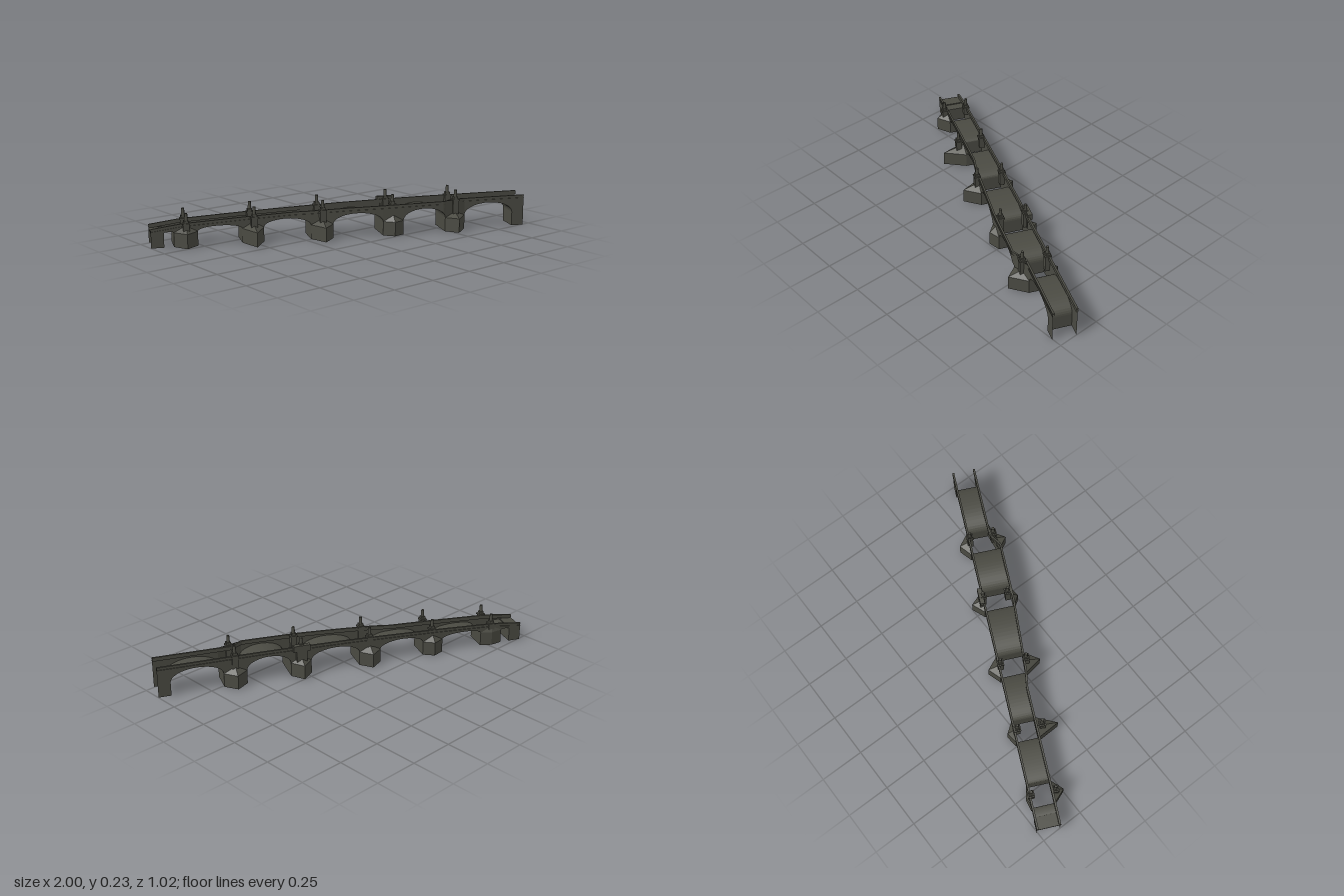
import * as THREE from 'three';

// The bridge is laid out along s (length), y (height), t (across, front is +)
const END = 1.07, HALF = 0.064, SPRING = 0.08;
const stone = new THREE.MeshStandardMaterial({ color: 0x4a4a42, side: THREE.DoubleSide });
stone.name = 'dark stone';

const piers = [
  { s0: -0.947, s1: -0.817, front: 0.128, back: 0.08, postF: 0.08, postB: 0.055, rise: 0.058 },
  { s0: -0.575, s1: -0.455, front: 0.187, back: 0.098, postF: 0.095, postB: 0.045, rise: 0.058 },
  { s0: -0.195, s1: -0.07, front: 0.176, back: 0.12, postF: 0.094, postB: 0.052, rise: 0.057 },
  { s0: 0.212, s1: 0.33, front: 0.143, back: 0.125, postF: 0.082, postB: 0.06, rise: 0.055 },
  { s0: 0.579, s1: 0.709, front: 0.157, back: 0.117, postF: 0.082, postB: 0.055, rise: 0.057 },
];

// Piecewise linear lookup
const lookup = (table) => (s) => {
  if (s <= table[0][0]) return table[0][1];
  for (let i = 1; i < table.length; i++) {
    const [a, va] = table[i - 1], [b, vb] = table[i];
    if (s <= b) return va + (vb - va) * (s - a) / (b - a);
  }
  return table[table.length - 1][1];
};
const top = lookup([[-1.07, 0.105], [-0.9, 0.127], [-0.55, 0.145], [-0.25, 0.157],
  [0, 0.166], [0.25, 0.171], [0.5, 0.175], [1.07, 0.178]]);
// The front wall swells outwards past the middle
const frontLine = lookup([[-0.3, HALF], [-0.2, 0.08], [0.23, 0.108], [0.57, 0.11], [0.63, HALF]]);
const wallLine = (side, s) => (side > 0 ? frontLine(s) : -HALF);

function mesh(geometry, name) {
  const m = new THREE.Mesh(geometry, stone);
  m.name = name;
  return m;
}

function faceted(positions) {
  const g = new THREE.BufferGeometry();
  g.setAttribute('position', new THREE.Float32BufferAttribute(positions, 3));
  g.computeVertexNormals();
  return g;
}

// Strip of quads between two equally long rows of [x, y, z] points
function ribbon(a, b) {
  const p = [];
  for (let i = 0; i + 1 < a.length; i++) {
    p.push(...a[i], ...a[i + 1], ...b[i + 1], ...a[i], ...b[i + 1], ...b[i]);
  }
  return faceted(p);
}

// Arch underside from pier to pier as [s, y], reaching the ground at both ends
function archPath(s0, s1) {
  const crown = top((s0 + s1) / 2) - 0.033, path = [[s0, 0]], n = 20;
  for (let i = 0; i <= n; i++) {
    const a = Math.PI * (1 - i / n);
    path.push([(s0 + s1) / 2 + Math.cos(a) * (s1 - s0) / 2,
      SPRING + (crown - SPRING) * Math.sin(a)]);
  }
  path.push([s1, 0]);
  return path;
}

// Pointed pier nose with a sloping cap
function cutwater(pier, side) {
  const { s0, s1 } = pier, mid = (s0 + s1) / 2;
  const tip = side * (side > 0 ? pier.front : pier.back);
  const w0 = wallLine(side, s0), w1 = wallLine(side, s1);
  const plan = [[s0, w0], [mid, tip], [s1, w1]];
  const at = (y) => plan.map(([s, t]) => [s, y, t]);
  const peak = [mid, 0.113, wallLine(side, mid)];
  const g = new THREE.Group();
  g.add(mesh(ribbon(at(0), at(SPRING)), 'pierNose'));
  g.add(mesh(ribbon(at(SPRING), [peak, peak, peak]), 'pierCap'));
  g.name = 'cutwater';
  return g;
}

function box(w, y0, y1, d, s, t, name) {
  const m = mesh(new THREE.BoxGeometry(w, y1 - y0, d), name);
  m.position.set(s, (y0 + y1) / 2, t);
  return m;
}

// Buttress, pedestal and slim post above a pier
function monument(pier, side) {
  const g = new THREE.Group();
  g.name = 'monument';
  const s = (pier.s0 + pier.s1) / 2, h = top(s);
  const t = side * (side > 0 ? pier.postF : pier.postB);
  g.add(box(0.034, SPRING, h, 0.032, s, t, 'buttress'));
  g.add(box(0.04, h - 0.004, h + 0.004, 0.038, s, t, 'pedestalBase'));
  g.add(box(0.026, h + 0.004, h + 0.018, 0.026, s, t, 'pedestal'));
  const post = mesh(new THREE.CylinderGeometry(0.008, 0.01, pier.rise - 0.018, 8).toNonIndexed(), 'post');
  post.position.set(s, h + 0.018 + (pier.rise - 0.018) / 2, t);
  g.add(post);
  return g;
}

export function createModel() {
  const bridge = new THREE.Group();
  bridge.name = 'bridge';

  // Spans between the piers, with a small one at the low end
  const starts = [-1.0, ...piers.map((p) => p.s1)];
  const ends = [...piers.map((p) => p.s0), 1.0];
  const arches = starts.map((s, i) => archPath(s, ends[i]));

  // Vaults
  for (const path of arches) {
    bridge.add(mesh(ribbon(
      path.map(([s, y]) => [s, y, frontLine(s)]),
      path.map(([s, y]) => [s, y, -HALF])), 'archVault'));
  }
  bridge.add(box(END - 1.0, 0.078, 0.086, 2 * HALF, -(END + 1) / 2, 0, 'landing'));

  // Side walls, parapets and string courses
  const outline = [[-END, 0], ...arches.flat(), [END, 0]];
  const steps = Array.from({ length: 81 }, (_, i) => -END + 2 * END * i / 80);
  for (const side of [1, -1]) {
    bridge.add(mesh(ribbon(
      outline.map(([s, y]) => [s, y, wallLine(side, s)]),
      outline.map(([s]) => [s, top(s), wallLine(side, s)])), 'sideWall'));

    const row = (drop, out) => steps.map((s) => [s, top(s) - drop, wallLine(side, s) + side * out]);
    const strips = [
      ['coping', [[0, -0.008], [0, 0.003], [0.005, 0.003], [0.005, 0]]],
      ['parapetInside', [[0, -0.008], [0.022, -0.008]]],
      ['stringCourse', [[0.016, 0], [0.016, 0.004], [0.021, 0.004], [0.021, 0]]],
    ];
    for (const [name, profile] of strips) {
      for (let i = 0; i + 1 < profile.length; i++) {
        bridge.add(mesh(ribbon(row(...profile[i]), row(...profile[i + 1])), name));
      }
    }
    for (const pier of piers) {
      bridge.add(cutwater(pier, side), monument(pier, side));
    }
  }

  // Pier sides are closed by the vaults; one pier carries a wide lookout at the back
  const lookout = piers[3], ls = (lookout.s0 + lookout.s1) / 2;
  bridge.add(box(0.095, 0.15, 0.186, 0.026, ls, -0.072, 'lookoutParapet'));
  bridge.add(box(0.06, SPRING, 0.15, 0.022, ls, -0.072, 'lookoutSupport'));

  // The bridge crosses diagonally
  bridge.rotation.y = -THREE.MathUtils.degToRad(24.7);
  const model = new THREE.Group();
  model.name = 'stoneBridge';
  model.add(bridge);
  return model;
}
